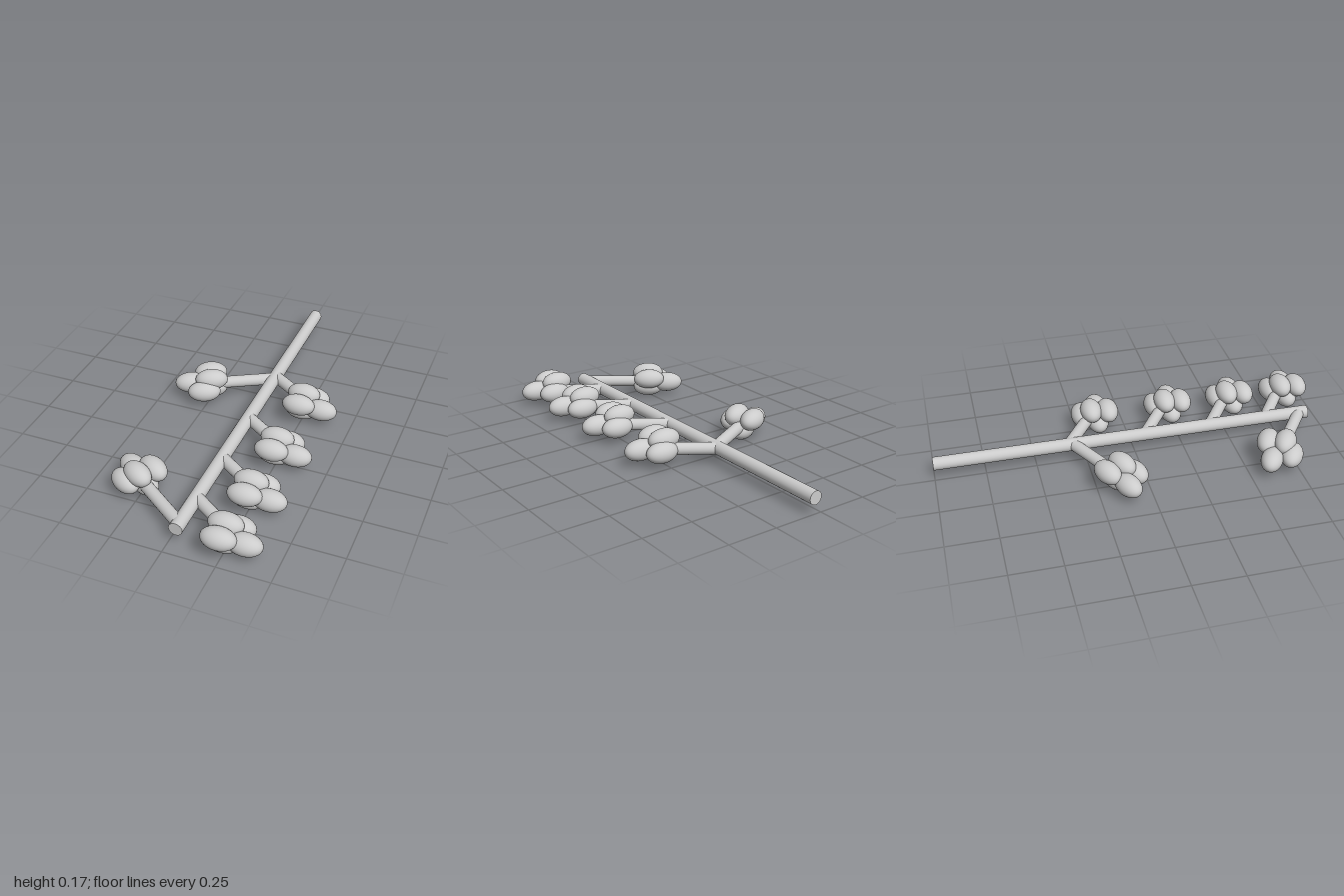
import * as THREE from 'three';

const STEM_X = 0.033, STEM_Y = 0.077;

export function createModel() {
  const model = new THREE.Group();
  model.name = 'budSprig';
  const material = new THREE.MeshStandardMaterial({ color: 0xcccccc });

  // Round rod between two points at stem height, given as [x, z]
  function rod(name, from, to, radius) {
    const a = new THREE.Vector3(from[0], STEM_Y, from[1]);
    const b = new THREE.Vector3(to[0], STEM_Y, to[1]);
    const dir = b.clone().sub(a);
    const mesh = new THREE.Mesh(new THREE.CylinderGeometry(radius, radius, dir.length(), 24), material);
    mesh.name = name;
    mesh.position.copy(a).lerp(b, 0.5);
    mesh.quaternion.setFromUnitVectors(new THREE.Vector3(0, 1, 0), dir.normalize());
    model.add(mesh);
  }

  // One oval bud, shared by every cluster
  const budGeometry = new THREE.SphereGeometry(1, 32, 20).scale(0.083, 0.052, 0.054);
  // Bud centres in a cluster: top, front, bottom, back, tip
  const buds = [
    [0, 0.122, -0.035],
    [0, 0.111, 0.051],
    [0, 0.053, 0],
    [0.04, 0.078, -0.078],
    [0.104, 0.077, 0.01],
  ];

  function cluster(name, x, z, degrees) {
    const group = new THREE.Group();
    group.name = name;
    for (const p of buds) {
      const bud = new THREE.Mesh(budGeometry, material);
      bud.name = 'bud';
      bud.position.set(...p);
      group.add(bud);
    }
    group.position.set(x, 0, z);
    group.rotation.y = THREE.MathUtils.degToRad(degrees);
    model.add(group);
  }

  // Main stem
  rod('stem', [STEM_X, -1], [STEM_X, 0.925], 0.033);

  // Row of matching branches on the left side
  for (const z of [-0.14, 0.25, 0.59, 0.89]) {
    rod('leftBranch', [STEM_X, z - 0.19], [0.24, z - 0.05], 0.03);
    cluster('leftBudCluster', 0.24, z, 0);
  }

  // Two turned branches on the right side
  rod('rightBackBranch', [STEM_X, -0.31], [-0.25, -0.155], 0.03);
  cluster('rightBackBudCluster', -0.258, -0.155, 205);
  rod('rightFrontBranch', [STEM_X, 0.885], [-0.24, 0.69], 0.03);
  cluster('rightFrontBudCluster', -0.24, 0.667, 150);

  return model;
}
